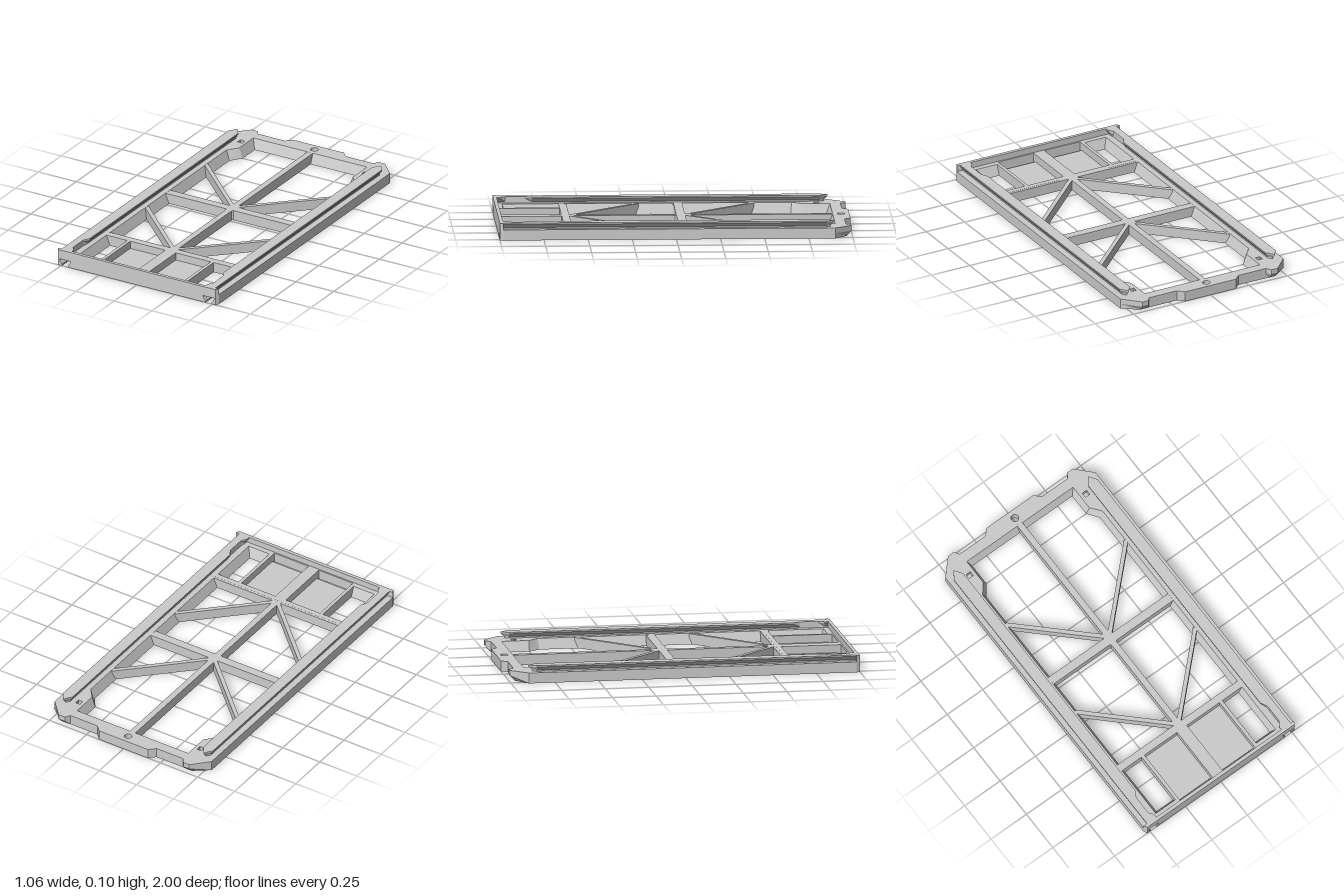
import * as THREE from 'three';

const material = new THREE.MeshStandardMaterial({ color: 0xcccccc, flatShading: true });
const H = 0.06;        // frame height
const TOP = 0.096;     // rail and front plate height
const FRONT = 0.98;    // back of the front plate
const RAIL_X = 0.474;  // rail and groove centre

// Plan outlines are lists of [x, z], all wound the same way.
const mirror = (pts) => pts.map(([x, z]) => [-x, z]).reverse();
const rect = (x0, x1, z0, z1) => [[x1, z0], [x1, z1], [x0, z1], [x0, z0]];

// Walls joining outlines stacked at the given heights
function walls(levels, { inward = false, open = false } = {}) {
  const pos = [];
  for (let l = 0; l < levels.length - 1; l++) {
    const [y0, lo] = levels[l], [y1, hi] = levels[l + 1];
    const n = lo.length;
    for (let i = 0; i < (open ? n - 1 : n); i++) {
      const j = (i + 1) % n;
      const a = [lo[i][0], y0, lo[i][1]], b = [lo[j][0], y0, lo[j][1]];
      const c = [hi[j][0], y1, hi[j][1]], d = [hi[i][0], y1, hi[i][1]];
      pos.push(...(inward ? [a, b, c, a, c, d] : [a, c, b, a, d, c]).flat());
    }
  }
  const g = new THREE.BufferGeometry();
  g.setAttribute('position', new THREE.Float32BufferAttribute(pos, 3));
  g.computeVertexNormals();
  return g;
}

// Flat face at height y, with holes
function cap(y, outline, holes = [], up = true) {
  const vecs = (pts) => pts.map(([x, z]) => new THREE.Vector2(x, z));
  const shape = new THREE.Shape(vecs(outline));
  holes.forEach((h) => shape.holes.push(new THREE.Path(vecs(h))));
  const g = new THREE.ShapeGeometry(shape).rotateX(Math.PI / 2);
  if (up) {
    g.setIndex(Array.from(g.index.array).reverse());
    g.computeVertexNormals();
  }
  return g.translate(0, y, 0);
}

// Pointed dovetail outline of half width w, optionally notched on its inner side
function dovetail(w, front, notched) {
  const n = Math.min(w, 0.012);
  const notch = notched ? [[-w, 0.96], [-n, 0.93], [-n, 0.82], [-w, 0.78]] : [];
  return [[w, -0.85], [w, front], [-w, front], ...notch, [-w, -0.85], [0, -0.85 - 1.4 * w]]
    .map(([x, z]) => [RAIL_X + x, z]);
}

export function createModel() {
  const model = new THREE.Group();
  const add = (name, geometry, parent = model) => {
    const mesh = new THREE.Mesh(geometry, material);
    mesh.name = name;
    parent.add(mesh);
    return mesh;
  };
  const group = (name) => {
    const g = new THREE.Group();
    g.name = name;
    model.add(g);
    return g;
  };

  // Frame outline; the ears are bevelled underneath
  const outer = (earZ) => {
    const half = [[0.165, -1], [0.2, -0.965], [0.38, -0.965], [0.4, earZ], [0.44, earZ],
      [0.53, -0.9], [0.53, FRONT]];
    return [...mirror(half), ...half];
  };

  // Openings: sloped walls run from the bottom outline to the top outline
  const mainHalf = (x0, x1, z0, z1) => {
    const half = [[x0, z0], [x0, -0.75], [x1, z1], [x1, 0.6]];
    return [...half, ...mirror(half)];
  };
  const circle = Array.from({ length: 24 }, (_, i) => {
    const a = (i / 24) * Math.PI * 2;
    return [0.022 * Math.cos(a), -0.953 + 0.022 * Math.sin(a)];
  });
  const openings = [
    [mainHalf(0.352, 0.4, -0.882, -0.685), mainHalf(0.375, 0.423, -0.905, -0.69)],
    [circle, circle],
  ];
  const pocket = rect(0.035, 0.265, 0.63, 0.972);
  const windowLow = rect(0.285, 0.4, 0.63, 0.925);
  const windowHigh = rect(0.285, 0.423, 0.63, 0.95);
  const grooveLevels = [[0, 0.02], [0.01, 0.02], [0.032, 0.037], [0.04, 0.037]]
    .map(([y, w]) => [y, dovetail(w, FRONT - 0.0005, false)]);
  const slot = rect(0.395, 0.425, -0.845, -0.815);
  const grooves = [], slots = [];
  for (const side of [(p) => p, mirror]) {
    openings.push([side(pocket), side(pocket)], [side(windowLow), side(windowHigh)]);
    grooves.push(grooveLevels.map(([y, p]) => [y, side(p)]));
    slots.push(side(slot));
  }

  // Frame
  const frame = group('frame');
  add('frameOuterWall', walls([[0, outer(-0.967)], [0.03, outer(-0.995)], [H, outer(-0.995)]],
    { open: true }), frame);
  add('frameTop', cap(H, outer(-0.995), [...openings.map((o) => o[1]), ...slots]), frame);
  add('frameBottom', cap(0, outer(-0.967),
    [...openings.map((o) => o[0]), ...grooves.map((g) => g[0][1])], false), frame);
  openings.forEach(([lo, hi]) =>
    add('openingWall', walls([[0, lo], [H, hi]], { inward: true }), frame));

  // Dovetail grooves under the frame, open to the front
  for (const levels of grooves) {
    // drop the front edge by starting the outline just after it
    const turned = levels.map(([y, p]) => {
      const k = p.findIndex((q, i) => q[1] > 0.9 && p[(i + 1) % p.length][1] > 0.9) + 1;
      return [y, [...p.slice(k), ...p.slice(0, k)]];
    });
    add('grooveWall', walls(turned, { inward: true, open: true }), frame);
    add('grooveCeiling', cap(0.04, levels[3][1], [], false), frame);
  }

  // Small blind latch slots in the rear corners
  for (const s of slots) {
    add('latchSlotWall', walls([[0.03, s], [H, s]], { inward: true }), frame);
    add('latchSlotFloor', cap(0.03, s), frame);
  }

  // Dovetail rails on top
  for (const [name, side] of [['leftRail', (p) => p], ['rightRail', mirror]]) {
    const rail = group(name);
    const levels = [[H, 0.018], [0.068, 0.018], [0.088, 0.033], [TOP, 0.033]]
      .map(([y, w]) => [y, side(dovetail(w, FRONT, true))]);
    add('railSides', walls(levels), rail);
    add('railTop', cap(TOP, levels[3][1]), rail);
  }

  // Front plate with dovetail notches and chamfered ends
  const notch = (c) => [[-0.02, 0], [-0.02, 0.01], [-0.037, 0.032], [-0.037, 0.04],
    [0.037, 0.04], [0.037, 0.032], [0.02, 0.01], [0.02, 0]].map(([x, y]) => [c + x, y]);
  const plateOutline = [[-0.53, 0], ...notch(-RAIL_X), ...notch(RAIL_X),
    [0.53, 0], [0.53, TOP], [-0.53, TOP]];
  const plate = new THREE.ExtrudeGeometry(
    new THREE.Shape(plateOutline.map(([x, y]) => new THREE.Vector2(x, y))),
    { depth: 1 - FRONT, bevelEnabled: false }).translate(0, 0, FRONT);
  const p = plate.attributes.position;
  for (let i = 0; i < p.count; i++) {
    if (Math.abs(p.getX(i)) > 0.525 && p.getZ(i) > 0.99) p.setX(i, Math.sign(p.getX(i)) * 0.52);
  }
  plate.computeVertexNormals();
  add('frontPlate', plate);

  // Beams across the main opening
  const beams = group('beams');
  const beam = (name, x0, z0, x1, z1, width) => {
    const mesh = add(name, new THREE.BoxGeometry(Math.hypot(x1 - x0, z1 - z0), H - 0.001, width), beams);
    mesh.position.set((x0 + x1) / 2, H / 2, (z0 + z1) / 2);
    mesh.rotation.y = -Math.atan2(z1 - z0, x1 - x0);
  };
  beam('centreSpar', 0, -0.91, 0, 0.6, 0.036);
  beam('middleCrossbar', -0.425, -0.045, 0.425, -0.045, 0.05);
  beam('frontCrossbar', -0.425, 0.608, 0.425, 0.608, 0.044);
  for (const z of [-0.06, 0.595]) {
    for (const s of [-1, 1]) beam('diagonalBrace', 0, z, s * 0.425, z - 0.41, 0.024);
  }
  beam('centreGusset', -0.025, -0.07, 0.025, -0.02, 0.07);

  // Thin floors of the front pockets, leaving a slit behind the plate
  for (const s of [-1, 1]) {
    add('pocketFloor', new THREE.BoxGeometry(0.232, 0.015, 0.322)).position.set(s * 0.15, 0.0075, 0.79);
  }
  return model;
}
